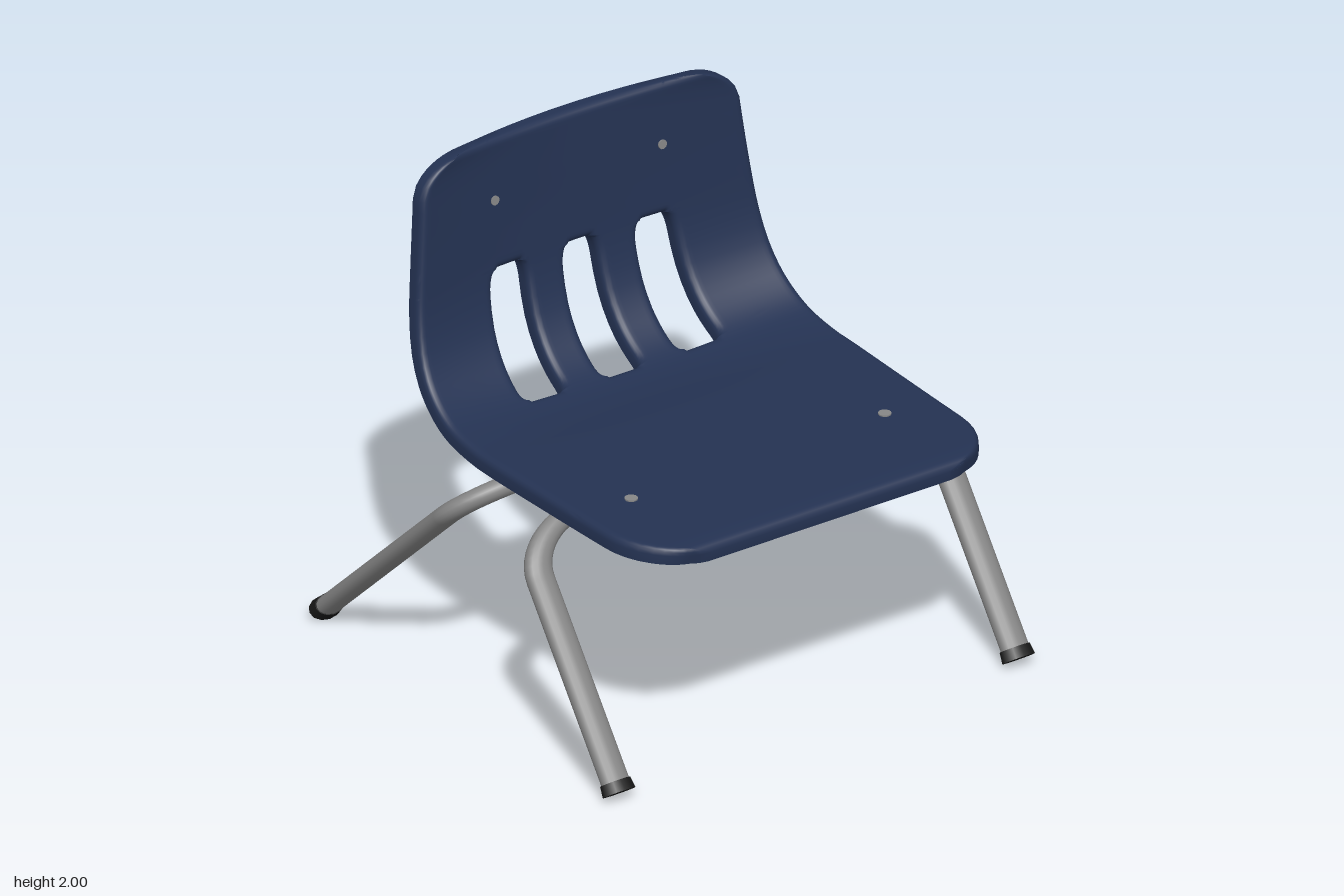
import * as THREE from 'three';
import { toCreasedNormals } from 'three/addons/utils/BufferGeometryUtils.js';

const V = (x, y, z) => new THREE.Vector3(x, y, z);
const clamp = THREE.MathUtils.clamp;
const lerp = THREE.MathUtils.lerp;
const STRETCH = 1.5; // the tubing is wider than deep

// Side profile of the seat, front edge to top edge, as (z, y)
const profile = new THREE.SplineCurve([
  [1, 1.0], [0.9, 1.01], [0.5, 1.015], [0, 1.025], [-0.15, 1.033], [-0.3, 1.065], [-0.42, 1.14],
  [-0.5, 1.25], [-0.545, 1.4], [-0.57, 1.6], [-0.588, 1.8], [-0.605, 2],
].map(([z, y]) => new THREE.Vector2(z, y)));
profile.arcLengthDivisions = 600;
const L = profile.getLength();

function findS(test) {
  for (let i = 0; i <= 1000; i++) if (test(profile.getPointAt(i / 1000))) return (i / 1000) * L;
  return L;
}
const slotA = findS((p) => p.x < -0.31), slotB = findS((p) => p.y > 1.47);

// Quarter-round falloff: 1 at d = 0, 0 at d >= r
const round = (d, r) => (d >= r ? 0 : 1 - Math.sqrt(1 - (1 - Math.max(d, 0) / r) ** 2));

function halfWidth(s) {
  const p = profile.getPointAt(clamp(s / L, 0, 1));
  const t = Math.max(0, p.y - 1);
  return 0.86 - 0.16 * t + 0.035 * t * t - 0.03 * Math.max(0, p.x)
    - 0.26 * round(s, 0.3) - 0.23 * round(L - s, 0.15);
}

// Left and right edges of the three slots at distance s along the profile
function slotEdges(s) {
  const c = clamp(s, slotA, slotB), k = (c - slotA) / (slotB - slotA);
  const f = 1 - 0.3 * round(c - slotA, 0.05) - 0.4 * round(slotB - c, 0.09);
  const side = lerp(0.365, 0.34, k), hs = lerp(0.097, 0.085, k) * f, hc = lerp(0.092, 0.078, k) * f;
  return [[-side - hs, -side + hs], [-hc, hc], [side - hs, side + hs]];
}

// Distance from a point of the shell to its nearest edge
function edgeDistance(x, s) {
  let d = Math.min(s, L - s, halfWidth(s) - Math.abs(x));
  const ds = Math.max(slotA - s, s - slotB, 0);
  for (const [a, b] of slotEdges(s)) d = Math.min(d, Math.hypot(Math.max(a - x, x - b, 0), ds));
  return Math.max(d, 0);
}

function normalAt(s) {
  const t = profile.getTangentAt(clamp(s / L, 0, 1));
  return V(0, -t.x, t.y);
}

// Point on the dished shell, moved by off along the normal
function surface(x, s, off) {
  const p = profile.getPointAt(clamp(s / L, 0, 1));
  const dish = 0.05 * (1 - (x / halfWidth(s)) ** 2) * THREE.MathUtils.smoothstep(-p.x, -0.1, 0.4);
  return V(x, p.y, p.x).addScaledVector(normalAt(s), off - dish);
}

// One-piece shell with three slots and a turned-down rim round every edge
function shellGeometry() {
  const insets = [0, 0.004, 0.012, 0.022, 0.032, 0.048];
  const ss = [];
  for (const d of [...insets, 0.07, 0.1, 0.15]) ss.push(d, L - d, slotA + d, slotA - d, slotB + d, slotB - d);
  for (let s = 0.2; s < L - 0.15; s += 0.05) {
    if (ss.every((o) => Math.abs(o - s) > 0.015)) ss.push(s);
  }
  ss.sort((a, b) => a - b);

  const top = [], under = [];
  let slotColumn = [];
  for (const s of ss) {
    const w = halfWidth(s);
    const stops = [-w, ...slotEdges(s).flat(), w];
    const xs = [];
    slotColumn = [];
    for (let k = 0; k < 7; k++) {
      const a = stops[k], b = stops[k + 1], seg = [];
      if (k % 2) for (let i = 0; i < 6; i++) seg.push(lerp(a, b, i / 6));
      else {
        const q = Math.min(1, (b - a) / 0.11);
        for (const d of insets) seg.push(a + d * q);
        const n = k === 0 || k === 6 ? 6 : 2;
        for (let i = 1; i < n; i++) seg.push(lerp(a + 0.048 * q, b - 0.048 * q, i / n));
        for (const d of insets.slice(1).reverse()) seg.push(b - d * q);
      }
      for (const x of seg) { xs.push(x); slotColumn.push(k % 2 === 1); }
    }
    xs.push(w);
    top.push(xs.map((x) => surface(x, s, -0.028 * round(edgeDistance(x, s), 0.03))));
    under.push(xs.map((x) => surface(x, s,
      -lerp(0.066, 0.026, THREE.MathUtils.smoothstep(edgeDistance(x, s), 0.02, 0.036)))));
  }

  const rows = ss.length - 1, cols = slotColumn.length, pos = [];
  const solid = (i, j) => i >= 0 && j >= 0 && i < rows && j < cols
    && !(slotColumn[j] && ss[i] >= slotA - 1e-6 && ss[i + 1] <= slotB + 1e-6);
  const quad = (a, b, c, d) => { for (const p of [a, b, c, a, c, d]) pos.push(p.x, p.y, p.z); };
  for (let i = 0; i < rows; i++) for (let j = 0; j < cols; j++) {
    if (!solid(i, j)) continue;
    const ring = [[i, j], [i, j + 1], [i + 1, j + 1], [i + 1, j]];
    const t = ring.map(([r, c]) => top[r][c]), u = ring.map(([r, c]) => under[r][c]);
    quad(...t);
    quad(u[3], u[2], u[1], u[0]);
    [[i - 1, j], [i, j + 1], [i + 1, j], [i, j - 1]].forEach(([r, c], e) => {
      const f = (e + 1) % 4;
      if (!solid(r, c)) quad(t[f], t[e], u[e], u[f]);
    });
  }
  const geo = new THREE.BufferGeometry();
  geo.setAttribute('position', new THREE.Float32BufferAttribute(pos, 3));
  return toCreasedNormals(geo, 0.8);
}

export function createModel() {
  const model = new THREE.Group();
  const mat = (name, color) => {
    const m = new THREE.MeshStandardMaterial({ color });
    m.name = name;
    return m;
  };
  const navy = mat('navy plastic', 0x243252);
  const steel = mat('grey steel', 0x868686);
  const rubber = mat('black rubber', 0x181818);
  const add = (parent, name, geo, material) => {
    const m = new THREE.Mesh(geo, material);
    m.name = name;
    parent.add(m);
    return m;
  };
  const UP = V(0, 1, 0);

  add(model, 'seatShell', shellGeometry(), navy);

  const frame = new THREE.Group();
  frame.name = 'frame';
  frame.scale.x = STRETCH;
  model.add(frame);

  // Bent leg tubes: foot, bend, crossbar, bend, foot
  for (const [name, footY, footZ, barZ] of [['frontLeg', 0.03, 0.92, 0.29], ['rearLeg', 0.036, -0.965, -0.02]]) {
    const X = 0.625, R = 0.22, path = new THREE.CurvePath();
    const ends = [-1, 1].map((side) => {
      const foot = V(side * X, footY, footZ), corner = V(side * X, 0.905, barZ);
      const dir = corner.clone().sub(foot).normalize();
      const a = corner.clone().addScaledVector(dir, -R), b = corner.clone().add(V(-side * R, 0, 0));
      return { foot, dir, a, b, ca: a.clone().lerp(corner, 0.55), cb: b.clone().lerp(corner, 0.55) };
    });
    const [l, r] = ends;
    path.add(new THREE.LineCurve3(l.foot, l.a));
    path.add(new THREE.CubicBezierCurve3(l.a, l.ca, l.cb, l.b));
    path.add(new THREE.LineCurve3(l.b, r.b));
    path.add(new THREE.CubicBezierCurve3(r.b, r.cb, r.ca, r.a));
    path.add(new THREE.LineCurve3(r.a, r.foot));
    add(frame, name + 'Tube', new THREE.TubeGeometry(path, 120, 0.04, 16), steel);
    for (const { foot, dir } of ends) {
      const cap = add(frame, name + 'Foot', new THREE.CylinderGeometry(0.044, 0.048, 0.045, 12), rubber);
      cap.quaternion.setFromUnitVectors(UP, dir);
      cap.position.copy(foot).addScaledVector(dir, 0.0225);
    }
  }

  // Support tube under the seat and round the back
  const half = [
    [0.393, 0.965, 0.64], [0.393, 0.965, 0.3], [0.393, 0.965, 0], [0.393, 0.972, -0.2], [0.393, 1.03, -0.4],
    [0.392, 1.14, -0.52], [0.388, 1.3, -0.6], [0.376, 1.5, -0.65], [0.363, 1.62, -0.665],
    [0.35, 1.7, -0.674], [0.318, 1.755, -0.682], [0.26, 1.768, -0.69], [0.12, 1.77, -0.703],
  ];
  const pts = [...half.map(([x, y, z]) => V(-x, y, z)), ...half.slice().reverse().map(([x, y, z]) => V(x, y, z))];
  add(frame, 'backSupport', new THREE.TubeGeometry(new THREE.CatmullRomCurve3(pts), 140, 0.032, 14), steel);
  for (const end of [pts[0], pts[pts.length - 1]]) {
    add(frame, 'supportEnd', new THREE.SphereGeometry(0.032, 14, 10), steel).position.copy(end);
  }

  // Rivets in the seat and backrest
  const seatS = findS((p) => p.x < 0.53), backS = findS((p) => p.y > 1.75);
  for (const side of [-1, 1]) for (const [x, s, r] of [[0.595, seatS, 0.026], [0.393, backS, 0.019]]) {
    const rivet = add(model, 'rivet', new THREE.CylinderGeometry(r, r, 0.009, 14), steel);
    rivet.quaternion.setFromUnitVectors(UP, normalAt(s));
    rivet.position.copy(surface(side * x, s, 0.001));
  }
  return model;
}
